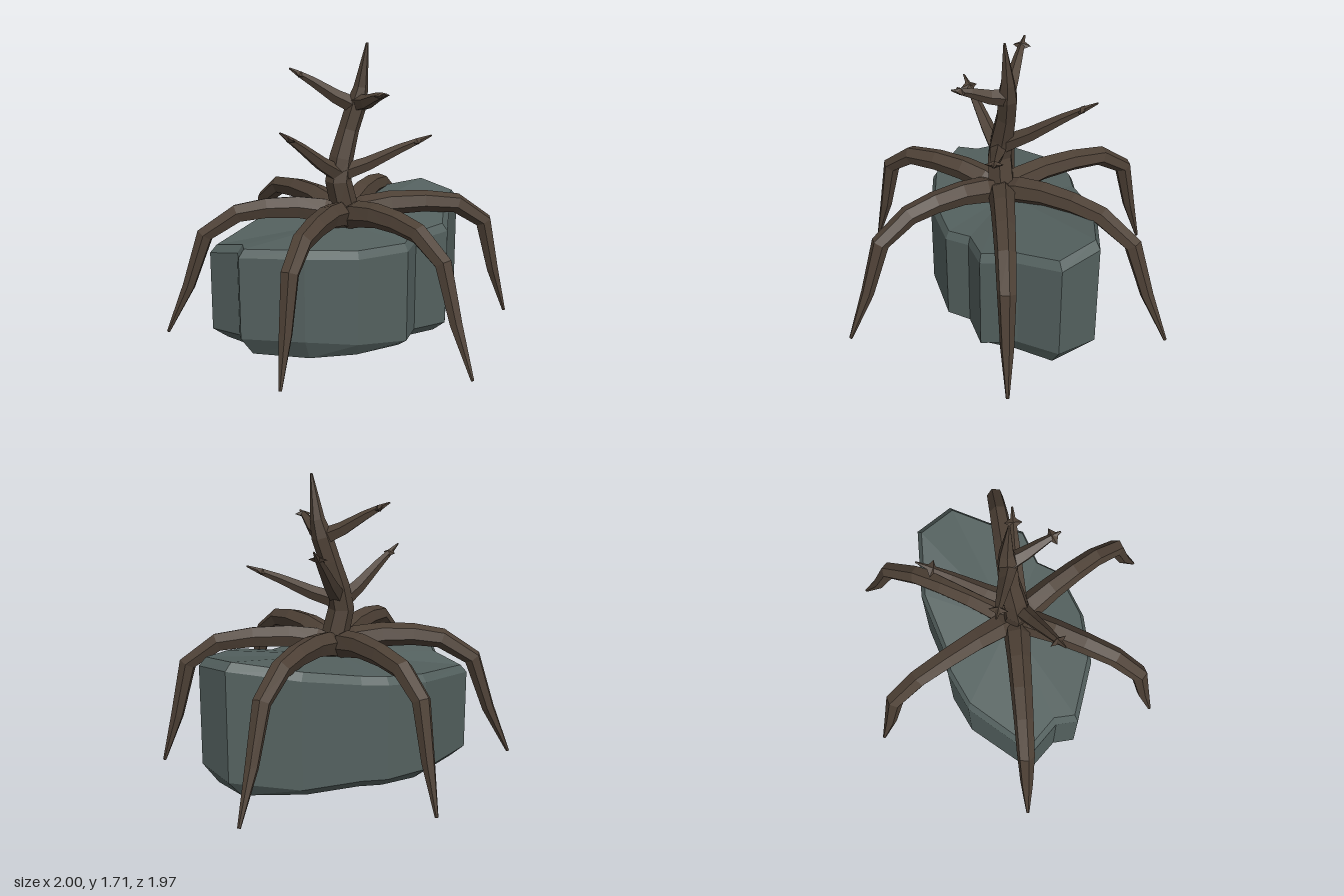
import * as THREE from 'three';

const wood = new THREE.MeshStandardMaterial({ color: 0x4e4136 });
wood.name = 'dark wood';
const stone = new THREE.MeshStandardMaterial({ color: 0x54615f });
stone.name = 'slate stone';

const V = (x, y, z) => new THREE.Vector3(x, y, z);

// Faceted mesh from points and triangle indices
function faceted(name, points, index, material) {
  const indexed = new THREE.BufferGeometry().setFromPoints(points);
  indexed.setIndex(index);
  const geometry = indexed.toNonIndexed();
  geometry.computeVertexNormals();
  const mesh = new THREE.Mesh(geometry, material);
  mesh.name = name;
  return mesh;
}

// Tapering limb: rings of `sides` corners along a path; `side` is a fixed cross direction
function limb(name, path, radii, side, sides = 6) {
  const points = [], index = [];
  path.forEach((p, i) => {
    const a = path[Math.max(i - 1, 0)], b = path[Math.min(i + 1, path.length - 1)];
    const t = b.clone().sub(a).normalize();
    const v = t.cross(side).normalize();
    for (let j = 0; j < sides; j++) {
      const ang = (j / sides) * Math.PI * 2 + 0.25;
      points.push(p.clone()
        .addScaledVector(side, Math.cos(ang) * radii[i])
        .addScaledVector(v, Math.sin(ang) * radii[i]));
    }
  });
  for (let i = 0; i < path.length - 1; i++) {
    for (let j = 0; j < sides; j++) {
      const k = (j + 1) % sides;
      const a = i * sides + j, b = i * sides + k;
      index.push(a, b, b + sides, a, b + sides, a + sides);
    }
  }
  // end caps
  const last = (path.length - 1) * sides;
  for (let j = 1; j < sides - 1; j++) {
    index.push(0, j + 1, j, last, last + j, last + j + 1);
  }
  return faceted(name, points, index, wood);
}

// Boulder: chamfered slab from an outline of [x, z, chamfer height, rim height]
function boulder() {
  const outline = [
    [-0.755, -0.19, 0.06, 0.575], [-0.387, -0.443, 0.06, 0.63],
    [-0.15, -0.485, 0.05, 0.65], [0, -0.462, 0.05, 0.66],
    [0.344, -0.475, 0.05, 0.72], [0.728, -0.363, 0.1, 0.78],
    [0.824, -0.123, 0.13, 0.75], [0.66, 0.07, 0.12, 0.72],
    [0.547, 0.256, 0.05, 0.67], [0.333, 0.272, 0.05, 0.64],
    [0.227, 0.379, 0.04, 0.625], [-0.088, 0.405, 0.08, 0.63],
    [-0.38, 0.336, 0.12, 0.65], [-0.685, 0.128, 0.11, 0.635],
    [-0.653, 0.005, 0.08, 0.62],
  ];
  const n = outline.length, points = [], index = [];
  const ring = (scale, height) => outline.forEach((o) =>
    points.push(V(o[0] * scale, height(o), (o[1] + 0.04) * scale - 0.04)));
  ring(0.89, () => 0);
  ring(1, (o) => o[2]);
  ring(1, (o) => o[3] - 0.045);
  ring(0.95, (o) => o[3]);
  points.push(V(0, 0, -0.04), V(0, 0.665, -0.04));
  for (let i = 0; i < n; i++) {
    const k = (i + 1) % n;
    for (let r = 0; r < 3; r++) {
      const a = r * n + i, b = r * n + k;
      index.push(b, a, a + n, b, a + n, b + n);
    }
    index.push(4 * n, i, k, 4 * n + 1, 3 * n + k, 3 * n + i);
  }
  return faceted('boulder', points, index, stone);
}

// Root: arches out from the crown and bends down to its tip
function root(x, z, early) {
  const reach = early
    ? [0, 0.12, 0.26, 0.43, 0.59, 0.77, 0.87, 0.995]
    : [0, 0.12, 0.27, 0.47, 0.67, 0.84, 0.91, 0.995];
  const heights = [0.7, 0.75, 0.775, 0.775, 0.75, 0.63, 0.32, 0.04];
  const radii = [0.07, 0.078, 0.07, 0.064, 0.058, 0.052, 0.038, 0.01];
  const path = reach.map((f, i) => V(x * f, heights[i], z * f));
  return limb('root', path, radii, V(z, 0, -x).normalize());
}

// Branch: straight taper with a small flat thorn pair near the tip
function branch(from, to) {
  const group = new THREE.Group();
  group.name = 'branch';
  const dir = to.clone().sub(from);
  const side = V(dir.z, 0, -dir.x).normalize();
  const at = (f, lift = 0) => from.clone().addScaledVector(dir, f).add(V(0, lift, 0));
  group.add(limb('branchStem', [from, at(0.3, -0.01), at(0.65), at(0.85), to],
    [0.052, 0.042, 0.028, 0.018, 0.005], side, 5));
  const thorn = new THREE.Mesh(new THREE.OctahedronGeometry(1), wood);
  thorn.name = 'thorn';
  const along = dir.clone().normalize();
  const basis = new THREE.Matrix4().makeBasis(side, along, side.clone().cross(along));
  thorn.quaternion.setFromRotationMatrix(basis);
  thorn.scale.set(0.052, 0.034, 0.02);
  thorn.position.copy(at(0.84));
  group.add(thorn);
  return group;
}

export function createModel() {
  const model = new THREE.Group();
  model.name = 'rootedBoulder';
  model.add(boulder());

  // Six spreading roots: tip x, tip z, early bend
  const roots = [
    [-1, -0.298, true], [-0.23, -0.985, false], [0.77, -0.784, true],
    [0.995, 0.212, false], [0.315, 0.975, true], [-0.655, 0.675, false],
  ];
  roots.forEach((r) => model.add(root(...r)));

  // Leaning trunk
  model.add(limb('trunk', [
    V(0, 0.64, 0), V(0, 0.78, 0), V(-0.035, 0.93, 0), V(-0.01, 1.06, -0.01),
    V(0.04, 1.22, -0.02), V(0.085, 1.36, -0.015), V(0.11, 1.46, -0.01), V(0.135, 1.71, 0.015),
  ], [0.06, 0.08, 0.076, 0.07, 0.06, 0.06, 0.042, 0.007], V(0, 0, 1)));

  // Side branches: start and tip
  const branches = [
    [[0.08, 1.35, -0.01], [-0.25, 1.56, -0.2]],
    [[0.09, 1.37, 0], [0.12, 1.465, 0.3]],
    [[0.0, 1.02, -0.02], [0.27, 1.365, -0.47]],
    [[-0.04, 0.97, 0.01], [-0.43, 1.265, 0.12]],
    [[-0.03, 0.97, 0.01], [0.48, 1.18, 0.16]],
  ];
  branches.forEach(([a, b]) => model.add(branch(V(...a), V(...b))));

  return model;
}
